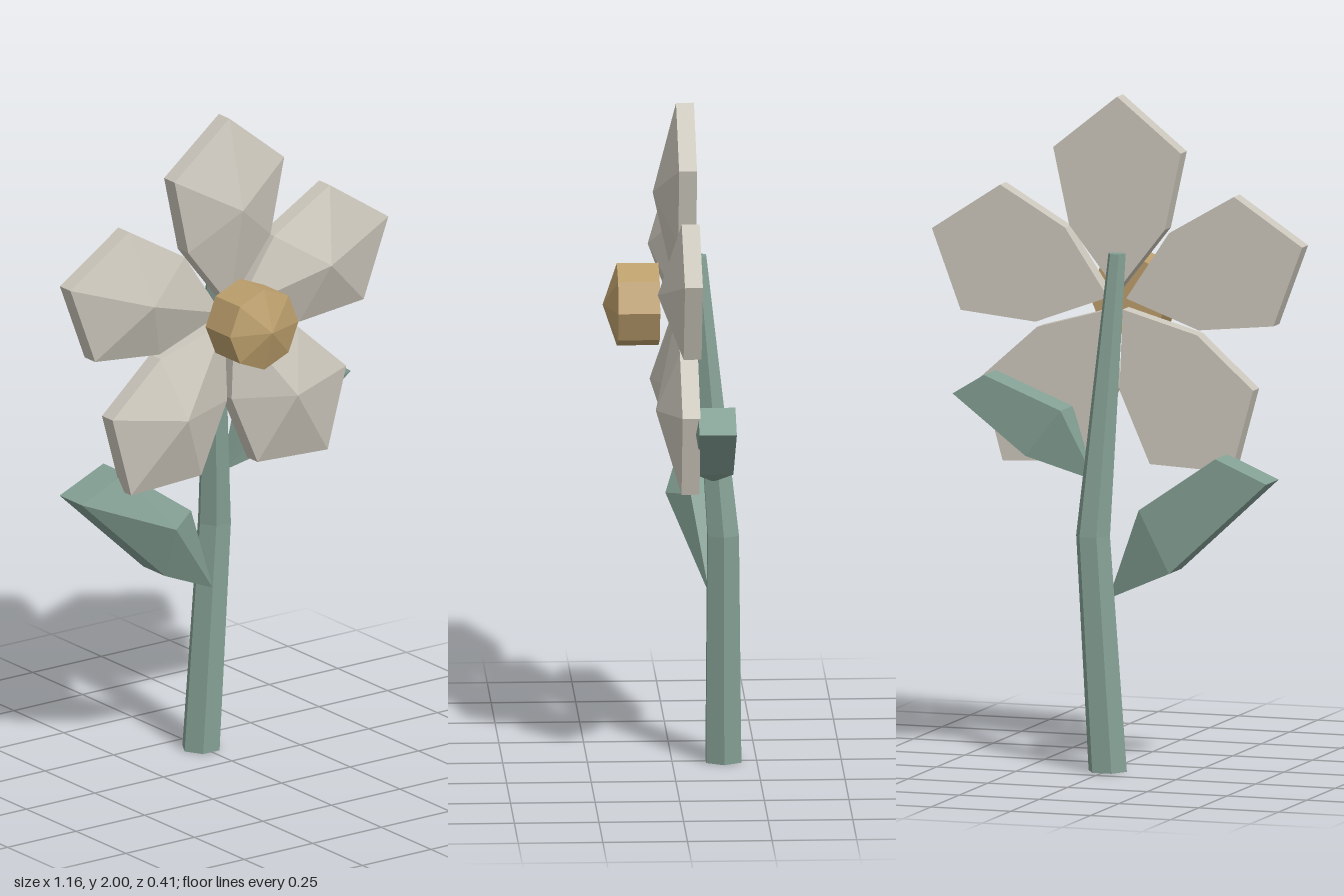
import * as THREE from 'three';

const paint = (name, color) => {
  const m = new THREE.MeshStandardMaterial({ color, flatShading: true });
  m.name = name;
  return m;
};

// Faceted mesh: every face keeps its own normal
function part(name, geometry, material) {
  const g = geometry.index ? geometry.toNonIndexed() : geometry;
  g.computeVertexNormals();
  const mesh = new THREE.Mesh(g, material);
  mesh.name = name;
  return mesh;
}

// Slab with a flat back and a faceted front rising to one apex.
// outline: counter-clockwise [x, y, back z, rim z]; the back fans from the first corner.
function facetedSlab(outline, apex) {
  const pos = [];
  const back = outline.map(([x, y, b]) => [x, y, b]);
  const rim = outline.map(([x, y, , r]) => [x, y, r]);
  const tri = (...corners) => corners.forEach((c) => pos.push(...c));
  const n = outline.length;
  for (let i = 0; i < n; i++) {
    const j = (i + 1) % n;
    tri(rim[i], rim[j], apex);
    tri(back[i], back[j], rim[j]);
    tri(back[i], rim[j], rim[i]);
    if (i > 0 && i < n - 1) tri(back[0], back[j], back[i]);
  }
  return new THREE.BufferGeometry().setAttribute('position', new THREE.Float32BufferAttribute(pos, 3));
}

// Leaf growing from a pointed base at the stem; points run upper, base, lower, tip, top
function leafGeometry(points, apex, baseZ) {
  let outline = points.map(([x, y], i) => (i === 1 ? [x, y, baseZ, baseZ] : [x, y, -0.17, -0.06]));
  // A leaf on the +x side needs no change; on the -x side the order is reversed
  if (points[3][0] < 0) outline = [outline[0], ...outline.slice(1).reverse()];
  return facetedSlab(outline, apex);
}

export function createModel() {
  const flower = new THREE.Group();
  flower.name = 'flower';
  const petalPaint = paint('petal cream', 0xccc7bc);
  const centrePaint = paint('centre gold', 0xbc9f6c);
  const greenPaint = paint('stem green', 0x84a094);

  // Five petals around the centre
  const petalOutline = [[0, 0.03], [0.15, 0.22], [0.2, 0.45], [0, 0.61], [-0.2, 0.45], [-0.15, 0.22]]
    .map(([x, y]) => [x, y, -0.065, -0.012]);
  const petals = new THREE.Group();
  petals.name = 'petals';
  petals.position.y = 1.39;
  for (let i = 0; i < 5; i++) {
    const petal = part('petal', facetedSlab(petalOutline, [0, 0.34, 0.057]), petalPaint);
    petal.rotation.z = (i * Math.PI * 2) / 5;
    petals.add(petal);
  }
  flower.add(petals);

  // Eight-sided centre with a shallow pointed front
  const profile = [[0, 0.04], [0.125, 0.04], [0.125, 0.163], [0, 0.205]].map((p) => new THREE.Vector2(...p));
  const centre = part('flowerCentre', new THREE.LatheGeometry(profile, 8).rotateX(Math.PI / 2), centrePaint);
  centre.position.y = 1.39;
  flower.add(centre);

  // Bent, tapering six-sided stem: [x, y, z, radius] from the ground up
  const rings = [[-0.002, 0, -0.152, 0.06], [0.045, 0.7, -0.149, 0.053], [-0.005, 1.535, -0.078, 0.027]];
  const stem = new THREE.CylinderGeometry(1, 1, 2, 6, 2).rotateY(Math.PI / 2);
  const p = stem.attributes.position;
  for (let i = 0; i < p.count; i++) {
    const [x, y, z, r] = rings[Math.round(p.getY(i)) + 1];
    p.setXYZ(i, x + p.getX(i) * r, y, z + p.getZ(i) * r);
  }
  flower.add(part('stem', stem, greenPaint));

  // Large low leaf on one side, smaller high leaf on the other
  flower.add(part('rightLeaf', leafGeometry(
    [[-0.105, 0.785], [0.01, 0.508], [-0.2, 0.6], [-0.505, 0.882], [-0.345, 0.95]],
    [-0.21, 0.765, 0.01], -0.11), greenPaint));
  flower.add(part('leftLeaf', leafGeometry(
    [[0.14, 1.07], [0.05, 0.86], [0.25, 0.93], [0.478, 1.105], [0.38, 1.165]],
    [0.27, 1.06, -0.035], -0.12), greenPaint));

  return flower;
}
